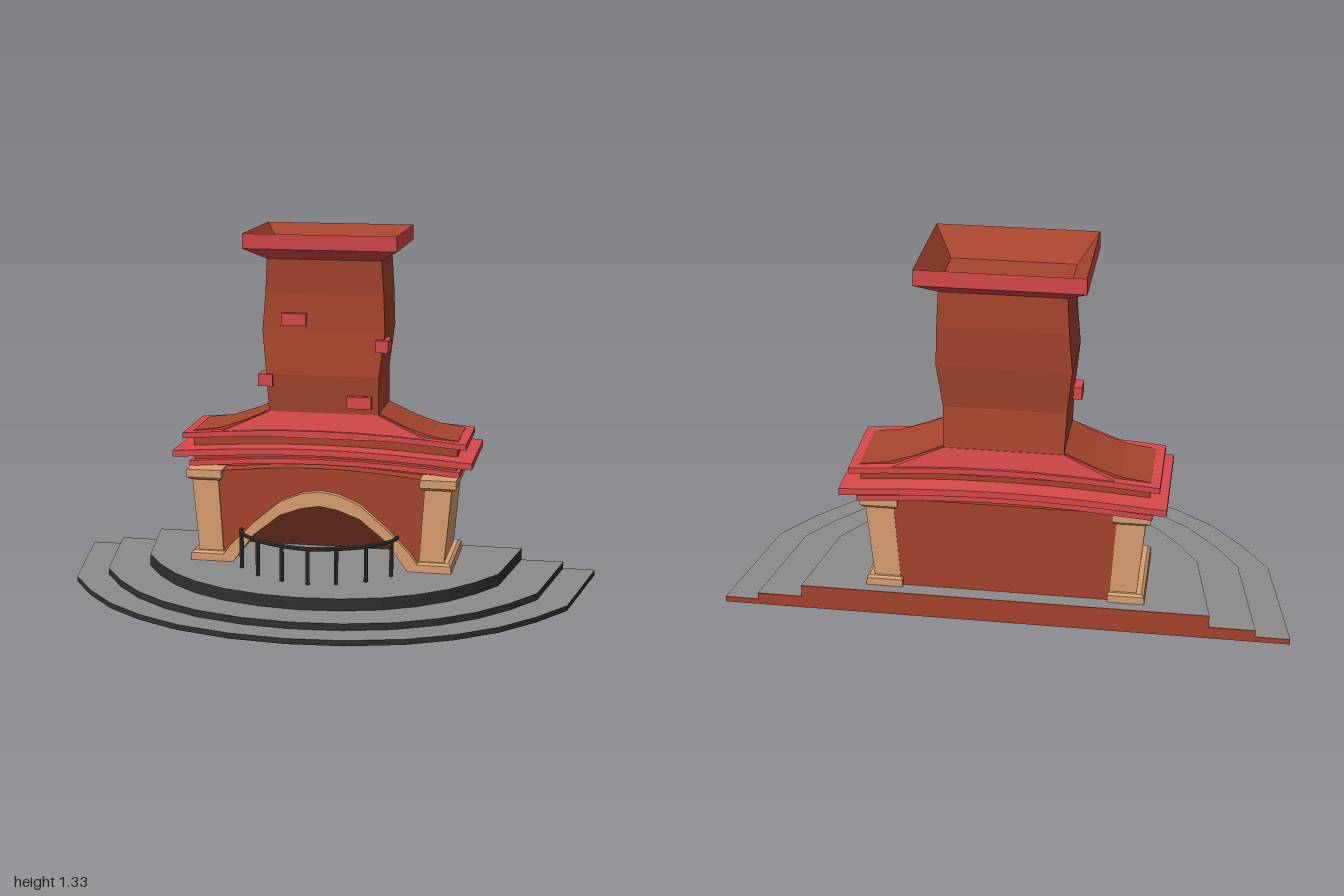
import * as THREE from 'three';

const mat = (color, side = THREE.FrontSide) =>
  new THREE.MeshStandardMaterial({ color, flatShading: true, side });

const BRICK = mat(0xa8452e);
const SOOT = mat(0x5a2618);
const RED = mat(0xd9494b);
const STONE = mat(0xd9a070);
const PAVING = mat(0x8c8c8c);
const IRON = mat(0x303030, THREE.DoubleSide);

function add(parent, name, geometry, material) {
  const mesh = new THREE.Mesh(geometry, material);
  mesh.name = name;
  parent.add(mesh);
  return mesh;
}

// Box given by its limits
function box(x0, x1, y0, y1, z0, z1) {
  return new THREE.BoxGeometry(x1 - x0, y1 - y0, z1 - z0)
    .translate((x0 + x1) / 2, (y0 + y1) / 2, (z0 + z1) / 2);
}

// Closed loft through rectangles [y, x0, x1, z0, z1]
function loft(sections) {
  const rings = sections.map(([y, x0, x1, z0, z1]) =>
    [[x0, y, z1], [x1, y, z1], [x1, y, z0], [x0, y, z0]]);
  const pos = [];
  const quad = (a, b, c, d) => pos.push(...a, ...b, ...c, ...a, ...c, ...d);
  for (let i = 0; i < rings.length - 1; i++) {
    for (let k = 0; k < 4; k++) {
      const n = (k + 1) % 4;
      quad(rings[i][k], rings[i][n], rings[i + 1][n], rings[i + 1][k]);
    }
  }
  const [a, b, c, d] = rings[0];
  quad(d, c, b, a);
  quad(...rings[rings.length - 1]);
  const g = new THREE.BufferGeometry();
  g.setAttribute('position', new THREE.Float32BufferAttribute(pos, 3));
  g.computeVertexNormals();
  return g;
}

// Front outline extruded from z0 to z1
function slab(points, z0, z1) {
  const shape = new THREE.Shape(points.map(([x, y]) => new THREE.Vector2(x, y)));
  return new THREE.ExtrudeGeometry(shape, { depth: z1 - z0, bevelEnabled: false })
    .translate(0, 0, z0);
}

// Mirror the right half of an outline, ordered from the side to the middle (x = 0)
const mirror = (half) =>
  [...half, ...half.slice(0, -1).reverse().map(([x, y]) => [-x, y])];

// Gently arched line across the width, from +x to -x
function arched(hx, y, rise, n = 8) {
  return Array.from({ length: n + 1 }, (_, i) => {
    const t = 1 - (2 * i) / n;
    return [t * hx, y + rise * Math.cos(t * Math.PI / 2)];
  });
}

export function createModel() {
  const model = new THREE.Group();

  // Three half-round steps with brick backs
  const rim = [[1, -0.485], [0.92, -0.03], [0.82, 0.12], [0.7, 0.255],
    [0.56, 0.36], [0.4, 0.44], [0.2, 0.493], [0, 0.51]];
  const steps = [[1, 1, 0, 0.02], [0.88, 0.9, 0.02, 0.045], [0.72, 0.764, 0.045, 0.09]];
  steps.forEach(([sx, sz, y0, y1], i) => {
    const outline = mirror(rim).map(([x, z]) => [x * sx, -((z + 0.485) * sz - 0.485)]);
    const g = slab(outline, y0, y1).rotateX(-Math.PI / 2);
    add(model, `step${i + 1}`, g, [PAVING, IRON]);
    add(model, `stepBack${i + 1}`, box(-sx, sx, y0, y1, -0.488, -0.484), BRICK);
  });

  // Hearth wall with arched opening
  const inner = [[0.33, 0.09], [0.25, 0.2], [0.15, 0.28], [0.07, 0.31], [0, 0.322]];
  const outer = [[0.385, 0.09], [0.34, 0.155], [0.25, 0.247], [0.15, 0.332], [0.07, 0.366], [0, 0.377]];
  const opening = mirror(inner);
  const wallTop = arched(0.42, 0.43, 0.03);
  add(model, 'hearthWall',
    slab([[0.42, 0.09], ...wallTop, [-0.42, 0.09], ...opening.slice().reverse()], -0.38, -0.125), BRICK);
  add(model, 'backWall', slab([[0.42, 0.09], ...wallTop, [-0.42, 0.09]], -0.43, -0.38), BRICK);
  add(model, 'fireback', slab(opening, -0.38, -0.376), SOOT);
  add(model, 'archSurround', slab([...mirror(outer), ...opening.slice().reverse()], -0.2, -0.1), STONE);

  // Leaning side pillars
  for (const s of [1, -1]) {
    const pillar = new THREE.Group();
    pillar.name = s > 0 ? 'leftPillar' : 'rightPillar';
    const rect = (y, a, b, z0, z1) => [y, Math.min(s * a, s * b), Math.max(s * a, s * b), z0, z1];
    const piece = (name, ...sections) =>
      add(pillar, name, loft(sections.map((r) => rect(...r))), STONE);
    piece('pillarBase', [0.09, 0.362, 0.492, -0.447, -0.1], [0.118, 0.362, 0.49, -0.447, -0.1],
      [0.127, 0.37, 0.48, -0.44, -0.108]);
    piece('pillarShaft', [0.12, 0.37, 0.463, -0.432, -0.118], [0.41, 0.388, 0.488, -0.432, -0.118]);
    piece('pillarCapital', [0.4, 0.38, 0.49, -0.436, -0.11], [0.41, 0.372, 0.505, -0.444, -0.1],
      [0.44, 0.372, 0.505, -0.444, -0.1]);
    model.add(pillar);
  }

  // Arched cornice bands around a brick core
  const bands = [
    ['lowerCornice', 0.51, 0.438, 0.458, -0.465, -0.163],
    ['middleCornice', 0.56, 0.483, 0.507, -0.512, -0.108],
    ['upperCornice', 0.533, 0.545, 0.566, -0.468, -0.153],
  ];
  for (const [name, hx, y0, y1, z0, z1] of bands) {
    add(model, name, slab([...arched(hx, y0, 0.027), ...arched(hx, y1, 0.027).reverse()], z0, z1), RED);
  }
  add(model, 'mantelCore',
    slab(mirror([[0.495, 0.44], [0.5, 0.57], [0.4, 0.584], [0.3, 0.618], [0.205, 0.662], [0, 0.662]]),
      -0.438, -0.188), BRICK);

  // Sloped shoulders in front of and behind the chimney
  add(model, 'shoulders',
    loft([[0.565, -0.41, 0.41, -0.464, -0.157], [0.657, -0.205, 0.205, -0.445, -0.18]]), RED);

  // Wavy chimney stack
  add(model, 'chimneyStack', loft([
    [0.64, -0.206, 0.206, -0.445, -0.18],
    [0.66, -0.206, 0.206, -0.443, -0.18],
    [0.8, -0.212, 0.208, -0.42, -0.165],
    [0.96, -0.23, 0.226, -0.44, -0.185],
    [1.1, -0.219, 0.22, -0.446, -0.19],
    [1.235, -0.212, 0.212, -0.44, -0.183],
  ]), BRICK);

  // Flared cap: outer shell and sunken brick inside
  const lip = [1.325, -0.28, 0.28, -0.512, -0.085];
  const shell = loft([[1.225, -0.212, 0.212, -0.442, -0.182], [1.27, -0.282, 0.282, -0.512, -0.09],
    lip, [1.24, -0.214, 0.214, -0.446, -0.18]]);
  // Material split: two outer tiers, then the inner slope, the underside and the floor
  shell.addGroup(0, 48, 0);
  shell.addGroup(48, 24, 1);
  shell.addGroup(72, 6, 0);
  shell.addGroup(78, 6, 1);
  add(model, 'chimneyCap', shell, [RED, BRICK]);

  // Bricks sticking out of the stack
  const bricks = [
    [-0.155, -0.064, 0.982, 1.027, -0.24, -0.166],
    [0.195, 0.241, 0.892, 0.937, -0.26, -0.165],
    [-0.241, -0.187, 0.756, 0.801, -0.22, -0.153],
    [0.092, 0.182, 0.683, 0.728, -0.22, -0.15],
  ];
  bricks.forEach((b, i) => add(model, `looseBrick${i + 1}`, box(...b), RED));

  // Curved hearth railing
  const railing = new THREE.Group();
  railing.name = 'hearthRailing';
  const half = [[0.293, -0.09], [0.28, -0.035], [0.2, 0.048], [0.1, 0.098], [0, 0.12]];
  const path = mirror(half);
  const curve = new THREE.CatmullRomCurve3(path.map(([x, z]) => new THREE.Vector3(x, 0.222, z)));
  add(railing, 'handrail', new THREE.TubeGeometry(curve, 24, 0.008, 6), IRON);
  for (const [x, z] of path.slice(1, -1)) {
    add(railing, 'railingPost',
      new THREE.CylinderGeometry(0.008, 0.008, 0.132, 6).translate(x, 0.154, z), IRON);
  }
  model.add(railing);

  return model;
}
